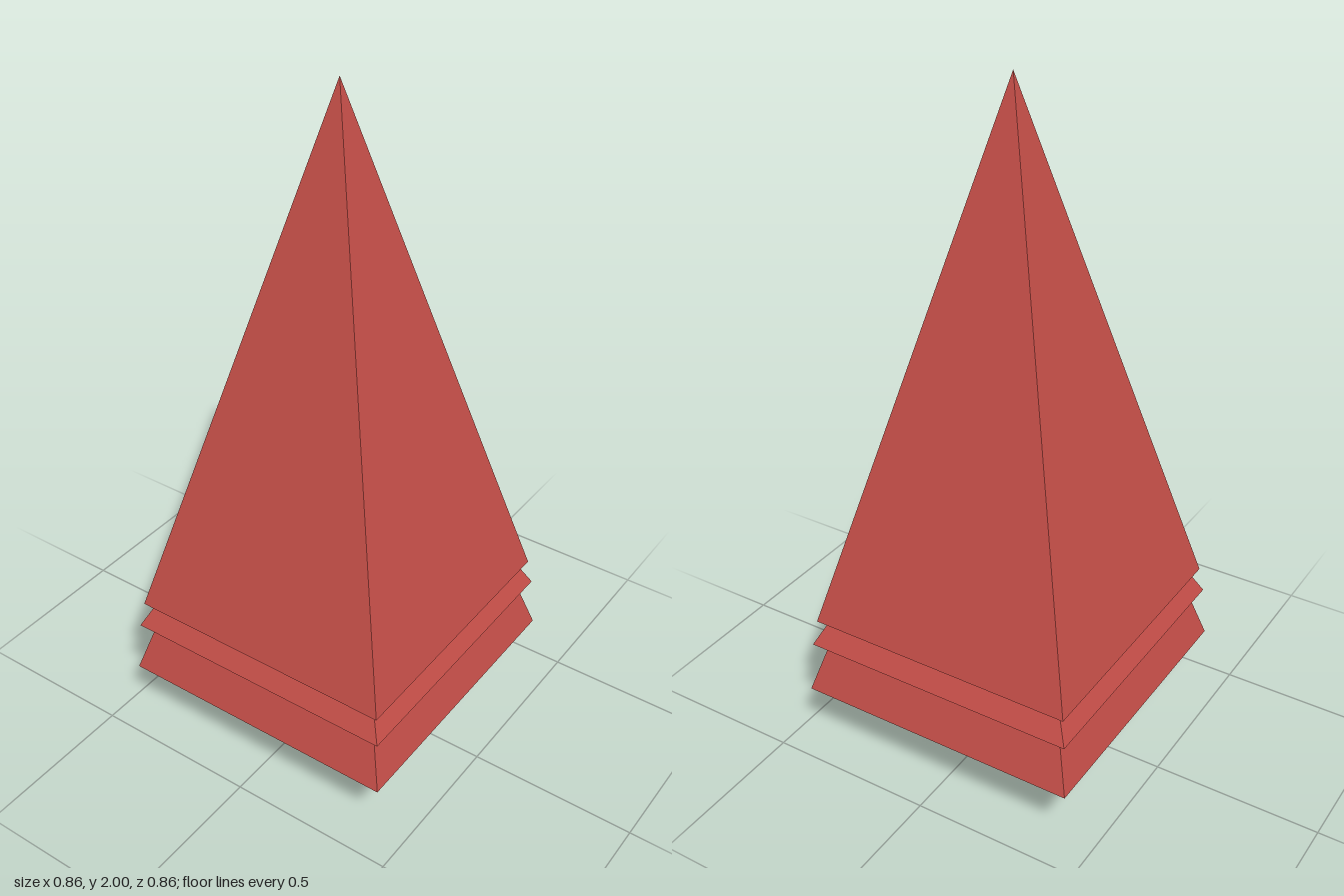
import * as THREE from 'three';

export function createModel() {
  const group = new THREE.Group();
  group.name = 'tree';

  const foliage = new THREE.MeshStandardMaterial({ color: 0xc44e48, flatShading: true });
  foliage.name = 'red foliage';
  const bark = new THREE.MeshStandardMaterial({ color: 0x966046, flatShading: true, side: THREE.DoubleSide });
  bark.name = 'brown bark';

  // Trunk: a twelve-sided tube, open at the foot
  const trunkHeight = 0.19;
  const trunk = new THREE.Mesh(
    new THREE.CylinderGeometry(0.1, 0.1, trunkHeight, 12, 1, true), bark);
  trunk.position.y = trunkHeight / 2;
  trunk.name = 'trunk';
  group.add(trunk);

  // Foliage: three nested square pyramids
  const tiers = [
    { name: 'lowerFoliage', base: 0.19, tip: 1.65, half: 0.432 },
    { name: 'middleFoliage', base: 0.35, tip: 1.19, half: 0.421 },
    { name: 'upperFoliage', base: 0.43, tip: 2.0, half: 0.409 },
  ];
  for (const { name, base, tip, half } of tiers) {
    const geometry = new THREE.ConeGeometry(half * Math.SQRT2, tip - base, 4);
    geometry.rotateY(Math.PI / 4);
    const tier = new THREE.Mesh(geometry, foliage);
    tier.position.y = (base + tip) / 2;
    tier.name = name;
    group.add(tier);
  }

  return group;
}
